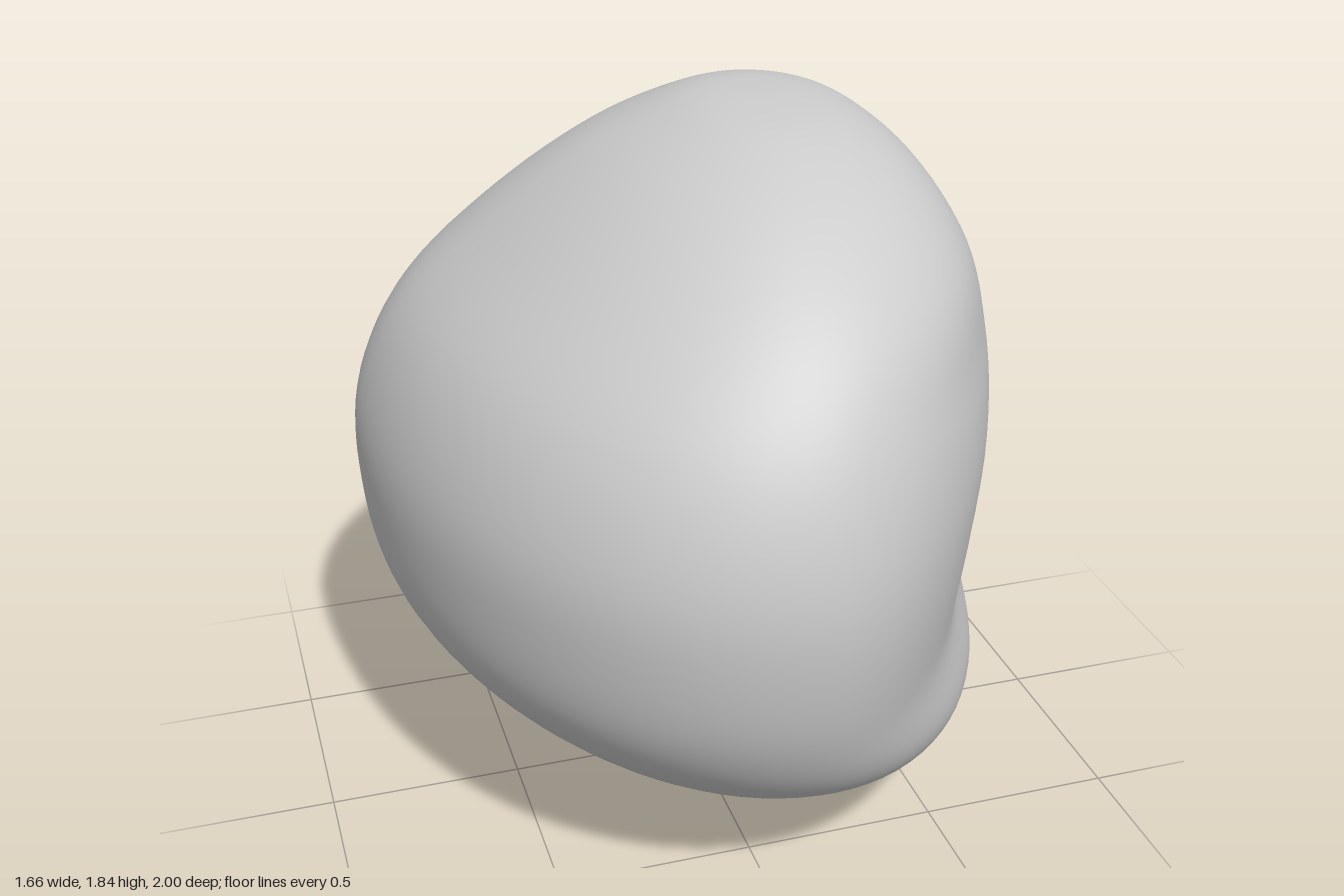
import * as THREE from 'three';
import { mergeVertices } from 'three/addons/utils/BufferGeometryUtils.js';

// Horizontal sections: y, then the x of the left/right extremes, the z of the
// front/back extremes, the x where front/back lie, the z where left/right lie
const SECTIONS = [
  [0, 0.48, 0.48, -0.27, -0.27, 0.48, 0.48, -0.27, -0.27],
  [0.035, 0.3, 0.61, 0.02, -0.43, 0.44, 0.46, -0.26, -0.27],
  [0.1, 0, 0.74, 0.27, -0.6, 0.35, 0.42, -0.25, -0.27],
  [0.22, -0.34, 0.81, 0.58, -0.75, 0.2, 0.35, -0.2, -0.27],
  [0.38, -0.6, 0.83, 0.81, -0.88, 0.1, 0.28, -0.2, -0.25],
  [0.6, -0.78, 0.76, 0.94, -0.97, 0.02, 0.24, -0.2, -0.08],
  [0.87, -0.83, 0.68, 1, -1, 0, 0.2, -0.2, 0.22],
  [1.1, -0.81, 0.66, 0.99, -0.96, 0, 0.18, -0.2, 0.33],
  [1.33, -0.7, 0.65, 0.91, -0.85, 0.03, 0.17, -0.17, 0.3],
  [1.53, -0.49, 0.61, 0.76, -0.71, 0.08, 0.17, -0.14, 0.2],
  [1.7, -0.26, 0.52, 0.53, -0.52, 0.12, 0.18, -0.1, 0.04],
  [1.8, -0.06, 0.4, 0.28, -0.33, 0.16, 0.18, -0.08, -0.05],
  [1.835, 0.06, 0.28, 0.06, -0.2, 0.17, 0.17, -0.08, -0.08],
  [1.84, 0.17, 0.17, -0.08, -0.08, 0.17, 0.17, -0.08, -0.08],
];
const SIDES = 96, STEPS = 6;
const { smoothstep } = THREE.MathUtils;

// Catmull-Rom blend of whole sections
function sectionAt(s) {
  const last = SECTIONS.length - 1;
  const i = Math.min(Math.floor(s), last - 1), t = s - i;
  const [a, b, c, d] = [i - 1, i, i + 1, i + 2].map((k) => SECTIONS[Math.min(Math.max(k, 0), last)]);
  return b.map((_, k) => 0.5 * (2 * b[k] + (c[k] - a[k]) * t
    + (2 * a[k] - 5 * b[k] + 4 * c[k] - d[k]) * t * t
    + (3 * b[k] - a[k] - 3 * c[k] + d[k]) * t * t * t));
}

// Soft oval spot on the right face, rotated in the z-y plane
function spot(y, z, cy, cz, length, width, angle) {
  const dy = y - cy, dz = z - cz;
  const u = (dz * Math.cos(angle) + dy * Math.sin(angle)) / length;
  const v = (dy * Math.cos(angle) - dz * Math.sin(angle)) / width;
  return Math.exp(-u * u - v * v);
}

// Slanting hollow with small folds at its lower end
function relief(x, y, z) {
  return smoothstep(x, 0.2, 0.55) * (
    -0.08 * spot(y, z, 1.07, -0.14, 0.45, 0.25, 2.3)
    + 0.03 * spot(y, z, 0.67, 0.19, 0.13, 0.08, 1.9)
    + 0.02 * spot(y, z, 0.97, 0.0, 0.11, 0.06, 2.6));
}

function bodyGeometry() {
  const positions = [], index = [];
  const rings = (SECTIONS.length - 1) * STEPS;
  for (let i = 0; i <= rings; i++) {
    const [y, xL, xR, zF, zB, fx, bx, lz, rz] = sectionAt(i / STEPS);
    // front right is planed off towards a blunt ridge, back right is fuller
    const planed = smoothstep(y, 0.1, 0.65) * (1 - smoothstep(y, 1.3, 1.75));
    const full = smoothstep(y, 0.1, 0.6) * (1 - smoothstep(y, 0.6, 1.3));
    for (let j = 0; j < SIDES; j++) {
      const a = (j / SIDES) * Math.PI * 2, sin = Math.sin(a), cos = Math.cos(a);
      // each quadrant is part of its own oval
      let p = 2, q = 2;
      if (sin > 0 && cos > 0) q = 2 - 0.85 * planed;
      else if (sin > 0) p = q = 2 + 0.6 * full;
      const cx = cos > 0 ? fx : bx, cz = sin > 0 ? rz : lz;
      const x = cx + ((sin > 0 ? xR : xL) - cx) * Math.abs(sin) ** (2 / p);
      const z = cz + ((cos > 0 ? zF : zB) - cz) * Math.abs(cos) ** (2 / q);
      positions.push(x + relief(x, y, z), y, z);
      if (i < rings) {
        const k = i * SIDES + j, next = i * SIDES + (j + 1) % SIDES;
        index.push(k, next, k + SIDES, next, next + SIDES, k + SIDES);
      }
    }
  }
  const geometry = new THREE.BufferGeometry();
  geometry.setAttribute('position', new THREE.Float32BufferAttribute(positions, 3));
  geometry.setIndex(index);
  const merged = mergeVertices(geometry, 1e-4);
  merged.computeVertexNormals();
  return merged;
}

export function createModel() {
  const group = new THREE.Group();
  group.name = 'roundedStone';
  const body = new THREE.Mesh(bodyGeometry(), new THREE.MeshStandardMaterial({ color: 0xcccccc }));
  body.name = 'dentedBody';
  group.add(body);
  return group;
}
